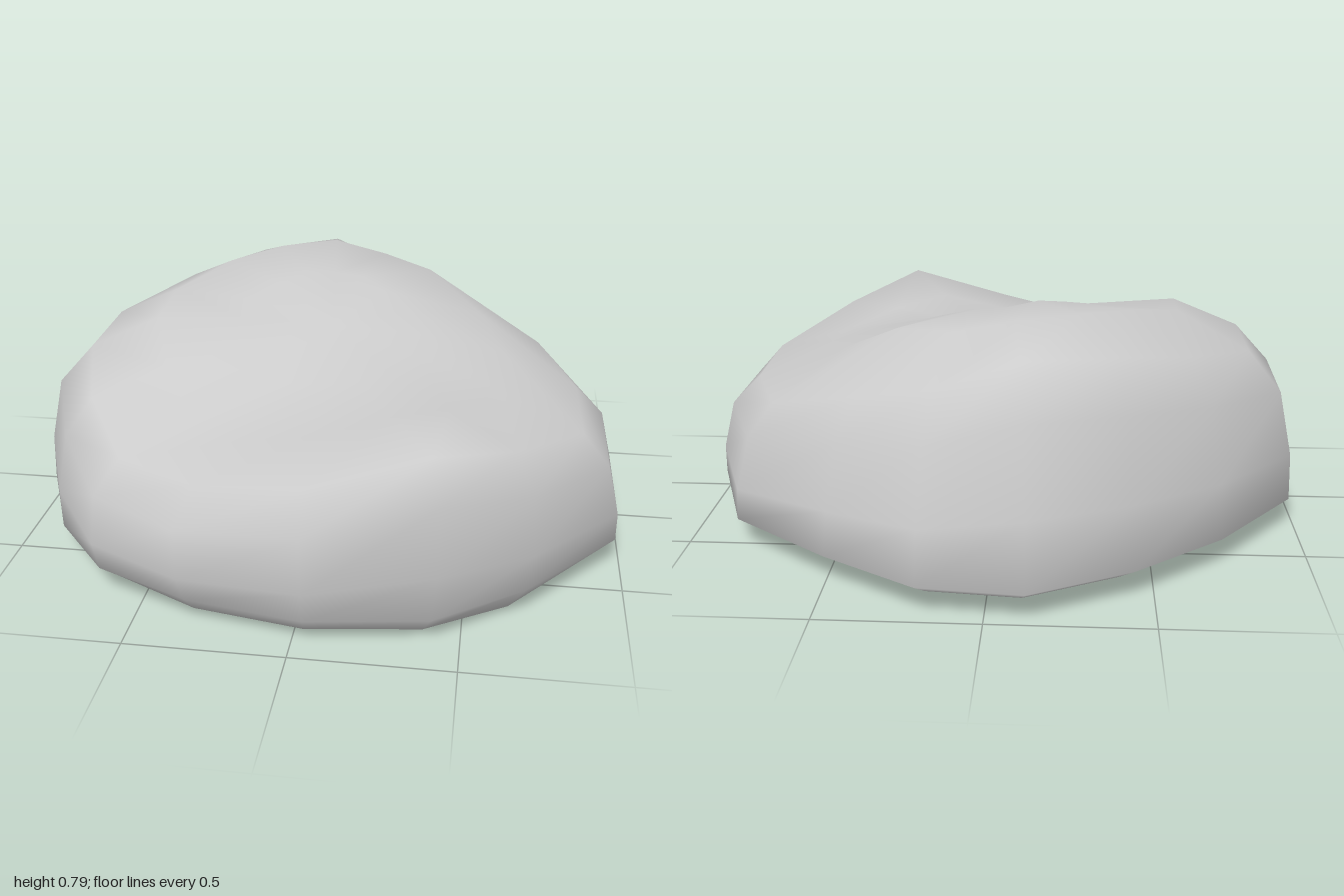
import * as THREE from 'three';

// One row per spoke, clockwise from the back:
// outline x, z, foot scale, shoulder scale, rim scale, rim height, outer top height, inner top height
const SPOKES = [
  [-0.12, -1.00, 1.00, 0.90, 0.82, 0.73, 0.79, 0.76],
  [0.20, -0.97, 1.00, 0.91, 0.81, 0.63, 0.75, 0.75],
  [0.50, -0.78, 1.00, 0.92, 0.83, 0.56, 0.73, 0.72],
  [0.83, -0.52, 1.00, 0.95, 0.86, 0.47, 0.62, 0.68],
  [0.98, -0.10, 1.00, 0.96, 0.86, 0.45, 0.57, 0.64],
  [0.98, 0.34, 1.00, 0.96, 0.87, 0.45, 0.54, 0.61],
  [0.71, 0.71, 0.97, 0.98, 0.90, 0.54, 0.57, 0.59],
  [0.43, 0.93, 0.96, 0.99, 0.94, 0.62, 0.59, 0.58],
  [0.04, 1.00, 0.95, 1.00, 0.91, 0.51, 0.53, 0.57],
  [-0.35, 0.93, 0.95, 0.99, 0.88, 0.45, 0.48, 0.56],
  [-0.66, 0.77, 0.97, 0.97, 0.87, 0.45, 0.49, 0.58],
  [-0.85, 0.51, 0.99, 0.955, 0.86, 0.54, 0.61, 0.64],
  [-0.99, 0.16, 1.00, 0.95, 0.83, 0.60, 0.70, 0.69],
  [-0.98, -0.25, 1.00, 0.95, 0.84, 0.60, 0.72, 0.72],
  [-0.72, -0.59, 1.00, 0.935, 0.85, 0.66, 0.77, 0.75],
  [-0.44, -0.83, 1.00, 0.92, 0.84, 0.71, 0.79, 0.77],
];

// Scale and height of each ring along a spoke, from the underside to the top
function profile([x, z, foot, shoulder, rim, rimY, outerY, innerY]) {
  const sag = Math.max(0, 1 - Math.hypot(x - 0.71, z - 0.71) / 0.5) * 0.035;
  return [
    [0.5, 0.032 - sag / 2], [0.9, 0.036 - sag], [foot, 0.095],
    [(foot + shoulder) / 2 + 0.02, rimY * 0.42], [shoulder, rimY * 0.78], [rim, rimY],
    [0.6, outerY], [0.3, innerY],
  ];
}

function boulderGeometry() {
  const n = SPOKES.length;
  const profiles = SPOKES.map(profile);
  const rings = profiles[0].length;
  const positions = [];
  const index = [];
  for (let r = 0; r < rings; r++) {
    SPOKES.forEach(([x, z], i) => {
      const [s, y] = profiles[i][r];
      positions.push(x * s, y, z * s);
    });
  }
  const bottom = rings * n;
  const top = bottom + 1;
  positions.push(0, 0.032, 0, 0, 0.67, 0);

  for (let i = 0; i < n; i++) {
    const k = (i + 1) % n;
    index.push(bottom, i, k);
    for (let r = 0; r < rings - 1; r++) {
      const a = r * n + i, b = r * n + k;
      index.push(b, a, a + n, b, a + n, b + n);
    }
    const last = (rings - 1) * n;
    index.push(top, last + k, last + i);
  }
  const geometry = new THREE.BufferGeometry();
  geometry.setAttribute('position', new THREE.Float32BufferAttribute(positions, 3));
  geometry.setIndex(index);
  geometry.computeVertexNormals();
  return geometry;
}

export function createModel() {
  const group = new THREE.Group();
  group.name = 'rock';
  // Smooth boulder with a hollow in its top
  const boulder = new THREE.Mesh(
    boulderGeometry(),
    new THREE.MeshStandardMaterial({ color: 0xcccccc }),
  );
  boulder.name = 'boulder';
  group.add(boulder);
  return group;
}
